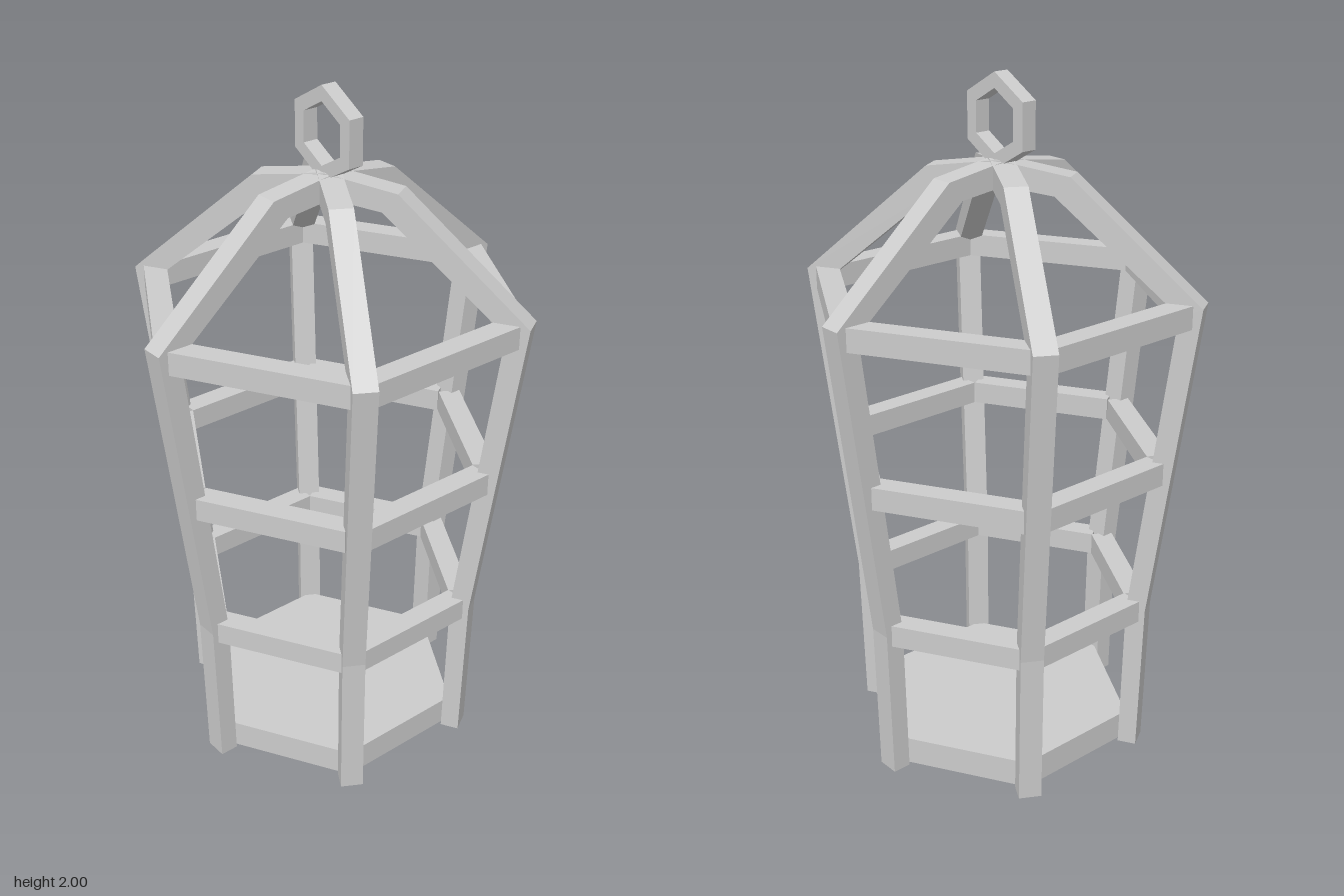
import * as THREE from 'three';

const SIDES = 6;
const STEP = (Math.PI * 2) / SIDES;

export function createModel() {
  const model = new THREE.Group();
  model.name = 'hexagonalLantern';
  const material = new THREE.MeshStandardMaterial({ color: 0xcccccc, flatShading: true });

  const add = (geometry, name, angle = 0) => {
    const mesh = new THREE.Mesh(geometry, material);
    mesh.name = name;
    mesh.rotation.y = angle;
    model.add(mesh);
    return mesh;
  };

  // Bent ribs: radial profile (radius, height), running from the foot to the crown
  const ribWidth = 0.066;
  const profile = [
    [0.39, 0], [0.445, 0], [0.457, 0.465], [0.58, 1.41], [0.206, 1.738], [0, 1.768],
    [0, 1.7], [0.162, 1.682], [0.515, 1.385], [0.4, 0.465],
  ].map(([r, y]) => new THREE.Vector2(r, y));
  const ribGeometry = new THREE.ExtrudeGeometry(new THREE.Shape(profile), {
    depth: ribWidth, bevelEnabled: false,
  });
  ribGeometry.translate(0, 0, -ribWidth / 2);
  for (let i = 0; i < SIDES; i++) add(ribGeometry, 'rib', Math.PI / 2 + i * STEP);

  // Three tiers of cross rails between neighbouring ribs
  const railDepth = 0.065;
  const tiers = [
    { name: 'lowerRail', y: 0.463, apothem: 0.397, length: 0.386 },
    { name: 'middleRail', y: 0.914, apothem: 0.443, length: 0.434 },
    { name: 'upperRail', y: 1.384, apothem: 0.495, length: 0.5 },
  ];
  for (const { name, y, apothem, length } of tiers) {
    const rail = new THREE.BoxGeometry(length, 0.067, railDepth);
    rail.translate(0, y, apothem - railDepth / 2);
    for (let i = 0; i < SIDES; i++) add(rail, name, (i + 0.5) * STEP);
  }

  // Solid floor plate
  const floor = new THREE.CylinderGeometry(0.402, 0.402, 0.083, SIDES);
  add(floor, 'floor').position.y = 0.0465;

  // Upright hanging ring
  const hexagon = (PathType, radius) => new PathType(
    Array.from({ length: SIDES }, (_, i) => new THREE.Vector2(
      -Math.sin(i * STEP) * radius, Math.cos(i * STEP) * radius)));
  const ringShape = hexagon(THREE.Shape, 0.13);
  ringShape.holes.push(hexagon(THREE.Path, 0.087));
  const ringDepth = 0.046;
  const ring = new THREE.ExtrudeGeometry(ringShape, { depth: ringDepth, bevelEnabled: false });
  ring.translate(0, 1.87, -ringDepth / 2);
  add(ring, 'hangingRing');

  return model;
}
